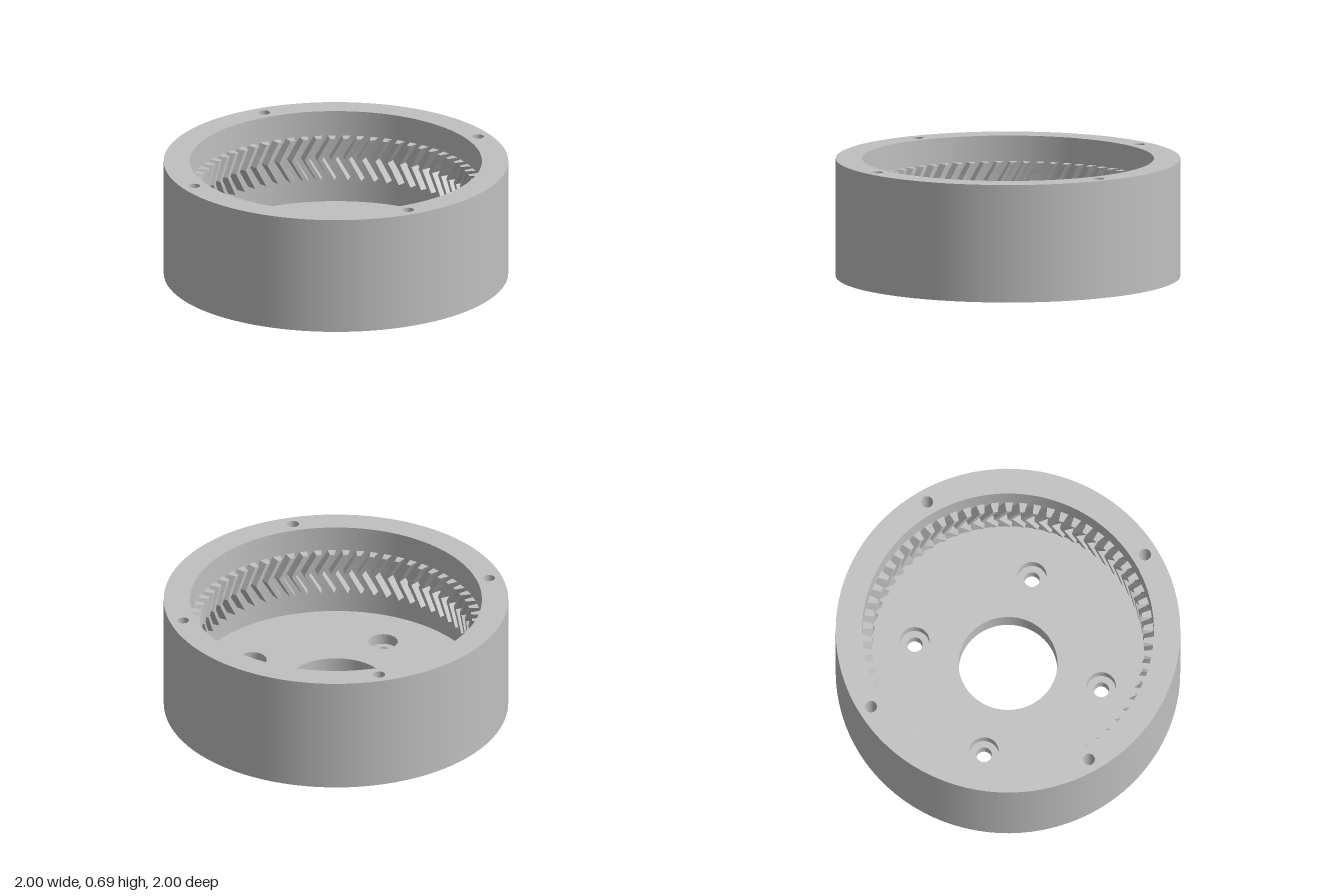
import * as THREE from 'three';
import { mergeGeometries } from 'three/addons/utils/BufferGeometryUtils.js';

const SEG = 96;
const HEIGHT = 0.69, FLOOR = 0.134, BORE = 0.847;       // housing
const SEAT = 0.07, RIM_DEPTH = 0.2;                     // hole depths
const TEETH = 64, TIP = 0.79, GEAR_LOW = 0.285, GEAR_TOP = 0.54, TWIST = 0.09;

// Hole centres as [x, z]
const boltSpots = [[1, 1], [-1, 1], [-1, -1], [1, -1]].map(([x, z]) => [x * 0.395, z * 0.395]);
const rimSpots = [[1, 0], [0, 1], [-1, 0], [0, -1]].map(([x, z]) => [x * 0.923, z * 0.923]);

export function createModel() {
  const group = new THREE.Group();
  const steel = new THREE.MeshStandardMaterial({ color: 0xc0c0c0 });

  const add = (name, geometry) => {
    const mesh = new THREE.Mesh(geometry, steel);
    mesh.name = name;
    group.add(mesh);
  };

  // Round wall: faces outward when y rises from y0 to y1, inward when it falls
  const wall = (name, r, y0, y1, [x, z] = [0, 0]) =>
    add(name, new THREE.LatheGeometry([new THREE.Vector2(r, y0), new THREE.Vector2(r, y1)], SEG).translate(x, 0, z));

  // Flat disc with round holes given as [radius, spots]
  const disc = (name, r, y, holes = [], [x, z] = [0, 0], up = true) => {
    const shape = new THREE.Shape().absarc(0, 0, r, 0, Math.PI * 2);
    for (const [hr, spots] of holes)
      for (const [hx, hz] of spots)
        shape.holes.push(new THREE.Path().absarc(hx, hz, hr, 0, Math.PI * 2, true));
    const geometry = new THREE.ShapeGeometry(shape, SEG / 2);
    geometry.rotateX(up ? -Math.PI / 2 : Math.PI / 2).translate(x, y, z);
    add(name, geometry);
  };

  const centre = [[0, 0]];

  // Housing shell
  wall('outerWall', 1, 0, HEIGHT);
  disc('underside', 1, 0, [[0.287, centre], [0.045, boltSpots]], [0, 0], false);
  disc('topRim', 1, HEIGHT, [[BORE, centre], [0.035, rimSpots]]);
  wall('innerWall', BORE, HEIGHT, FLOOR);
  disc('cavityFloor', BORE, FLOOR, [[0.287, centre], [0.085, boltSpots]]);
  wall('centreBore', 0.287, FLOOR, 0);

  // Counterbored bolt holes through the floor
  for (const spot of boltSpots) {
    wall('counterbore', 0.085, FLOOR, SEAT, spot);
    disc('boltSeat', 0.085, SEAT, [[0.045, centre]], spot);
    wall('boltHole', 0.045, SEAT, 0, spot);
  }

  // Blind holes in the rim
  for (const spot of rimSpots) {
    wall('rimHole', 0.035, HEIGHT, HEIGHT - RIM_DEPTH, spot);
    disc('rimHoleBottom', 0.035, HEIGHT - RIM_DEPTH, [], spot);
  }

  add('herringboneTeeth', buildTeeth());
  return group;
}

// Ring of inward teeth whose sections swing round to mid height and back
function buildTeeth() {
  const profile = [[0.85, -0.029], [0.85, 0.029], [TIP, 0.017], [TIP, -0.017]];
  const steps = 4;
  const sections = [];
  for (let i = 0; i <= steps; i++) {
    const t = i / steps;
    const swing = TWIST * (1 - Math.abs(2 * t - 1));
    const y = GEAR_LOW + (GEAR_TOP - GEAR_LOW) * t;
    sections.push(profile.map(([r, a]) => [r * Math.cos(a + swing), y, -r * Math.sin(a + swing)]));
  }

  const corners = [];
  const quad = (a, b, c, d) => corners.push(...a, ...b, ...c, ...a, ...c, ...d);
  for (let i = 0; i < steps; i++) {
    const lo = sections[i], hi = sections[i + 1];
    for (let k = 1; k < 4; k++) {
      const n = (k + 1) % 4;
      quad(lo[k], lo[n], hi[n], hi[k]);
    }
  }
  quad(...sections[steps]);
  quad(...[...sections[0]].reverse());

  const tooth = new THREE.BufferGeometry();
  tooth.setAttribute('position', new THREE.Float32BufferAttribute(corners, 3));
  tooth.computeVertexNormals();

  const ring = [];
  for (let i = 0; i < TEETH; i++)
    ring.push(tooth.clone().rotateY(((i + 0.5) / TEETH) * Math.PI * 2));
  return mergeGeometries(ring);
}
